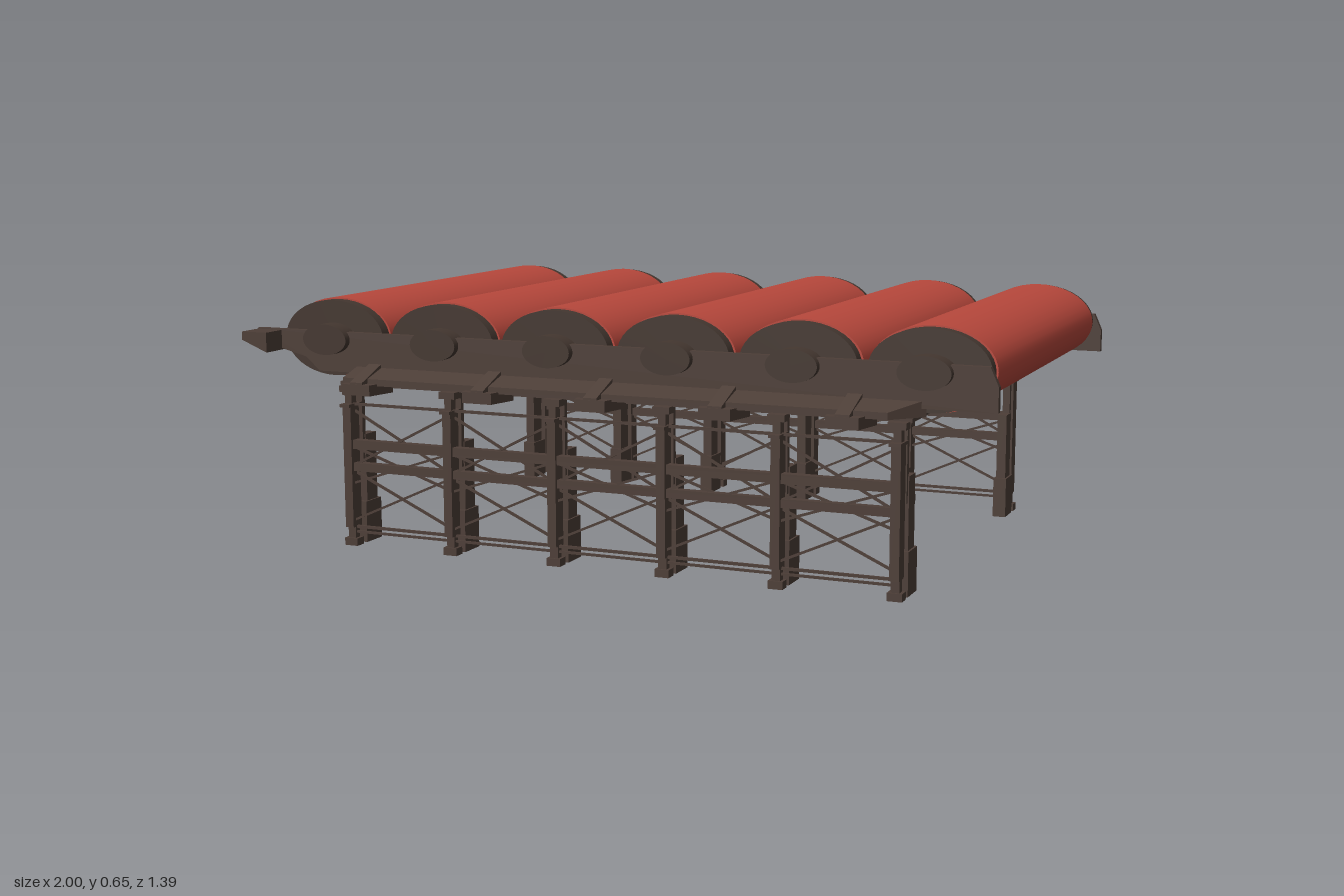
import * as THREE from 'three';

export function createModel() {
  const model = new THREE.Group();
  model.name = 'rollerConveyor';
  const mat = (name, color) => {
    const m = new THREE.MeshStandardMaterial({ color });
    m.name = name;
    return m;
  };
  const red = mat('rollerRed', 0xb8483c);
  const brown = mat('frameBrown', 0x4d3e37);
  const dark = mat('capBrown', 0x443730);

  const add = (name, geo, material, parent = model) => {
    const m = new THREE.Mesh(geo, material);
    m.name = name;
    parent.add(m);
    return m;
  };
  // Box given by its limits; an optional rule moves its corners
  const box = (name, x0, x1, y0, y1, z0, z1, parent = model, rule = null) => {
    let g = new THREE.BoxGeometry(x1 - x0, y1 - y0, Math.abs(z1 - z0));
    g.translate((x0 + x1) / 2, (y0 + y1) / 2, (z0 + z1) / 2);
    if (rule) {
      const p = g.attributes.position, v = new THREE.Vector3();
      for (let i = 0; i < p.count; i++) {
        v.fromBufferAttribute(p, i);
        rule(v);
        p.setXYZ(i, v.x, v.y, v.z);
      }
      g = g.toNonIndexed();
      g.computeVertexNormals();
    }
    return add(name, g, brown, parent);
  };
  // Side outline in x and y, given thickness between two z values
  const plate = (name, pts, za, zb, parent) => {
    const shape = new THREE.Shape(pts.map(([x, y]) => new THREE.Vector2(x, y)));
    const g = new THREE.ExtrudeGeometry(shape, { depth: Math.abs(zb - za), bevelEnabled: false });
    g.translate(0, 0, Math.min(za, zb));
    return add(name, g, brown, parent);
  };
  // Oval cylinder lying along z
  const oval = (name, x, rx, ry, z0, z1, material, parent) => {
    const g = new THREE.CylinderGeometry(1, 1, Math.abs(z1 - z0), 40);
    g.rotateX(Math.PI / 2);
    g.scale(rx, ry, 1);
    g.translate(x, 0.55, (z0 + z1) / 2);
    return add(name, g, material, parent);
  };
  // Thin square bar between two points in an x-y plane
  const bar = (name, x0, y0, x1, y1, z, t, parent) => {
    const m = add(name, new THREE.BoxGeometry(Math.hypot(x1 - x0, y1 - y0), t, t), brown, parent);
    m.position.set((x0 + x1) / 2, (y0 + y1) / 2, z);
    m.rotation.z = Math.atan2(y1 - y0, x1 - x0);
  };

  // Six oval rollers with end caps and hubs
  for (let i = 0; i < 6; i++) {
    const x = -0.78 + i * 0.322;
    const roller = new THREE.Group();
    roller.name = 'roller' + (i + 1);
    model.add(roller);
    oval('drum', x, 0.154, 0.103, -0.54, 0.54, red, roller);
    for (const s of [1, -1]) {
      oval('endCap', x, 0.149, 0.099, s * 0.535, s * 0.572, dark, roller);
      oval('hub', x, 0.065, 0.04, s * 0.57, s * 0.62, dark, roller);
    }
  }

  // Deck under the rollers
  box('deck', -0.77, 0.79, 0.425, 0.435, -0.53, 0.565);

  for (const s of [1, -1]) {
    const side = new THREE.Group();
    side.name = s > 0 ? 'frontFrame' : 'backFrame';
    model.add(side);

    // Side rail and its projecting end tab
    plate('sideRail', [[-1, 0.57], [-1, 0.545], [-0.93, 0.52], [-0.85, 0.5], [-0.81, 0.465],
      [1, 0.465], [1, 0.525], [0.98, 0.57]], s * 0.583, s * 0.6, side);
    plate('endTab', [[-1, 0.567], [-1, 0.545], [-0.925, 0.515], [-0.925, 0.567]], s * 0.59, s * 0.67, side);

    // Sloping ledge, cut off at an angle at its +x end
    box('ledge', -0.695, 0.83, 0.445, 0.485, s * 0.59, s * 0.667, side, (v) => {
      if (Math.abs(v.z) > 0.63) {
        if (v.x > 0) v.x = 0.76;
        if (v.y > 0.46) v.y = 0.462;
      }
    });

    // Brackets with tapered feet and ribs
    for (const x of [-0.64, -0.29, 0.02, 0.345, 0.66]) {
      box('bracketFoot', x - 0.058, x + 0.058, 0.422, 0.45, s * 0.61, s * 0.695, side, (v) => {
        if (Math.abs(v.z) > 0.65) v.x = x + (v.x - x) * 0.7;
      });
      box('bracketRib', x - 0.018, x + 0.018, 0.44, 0.495, s * 0.59, s * 0.693, side, (v) => {
        if (Math.abs(v.z) > 0.65 && v.y > 0.45) v.y = 0.455;
      });
    }

    // Legs: outer post with foot and head, inner pillar with block base
    const Z = (z) => s * z + 0.021; // the stand sits slightly toward the front
    const legs = [0, 1, 2, 3, 4, 5].map((i) => -0.735 + i * 0.299);
    for (const x of legs) {
      const leg = new THREE.Group();
      leg.name = 'leg';
      side.add(leg);
      const part = (name, w, y0, y1, z0, z1) =>
        box(name, x - w / 2, x + w / 2, y0, y1, Z(z0), Z(z1), leg);
      part('foot', 0.038, 0, 0.02, 0.537, 0.568);
      part('footNeck', 0.022, 0.02, 0.05, 0.543, 0.562);
      part('outerPost', 0.024, 0.05, 0.375, 0.533, 0.573);
      part('postCollar', 0.03, 0.372, 0.38, 0.522, 0.583);
      part('postHead', 0.02, 0.38, 0.425, 0.541, 0.564);
      part('headPlate', 0.045, 0.41, 0.427, 0.537, 0.57);
      part('hanger', 0.02, 0.225, 0.427, 0.5, 0.514);
      part('innerPillar', 0.026, 0.11, 0.29, 0.455, 0.505);
      part('pillarBase', 0.036, 0, 0.11, 0.445, 0.518);
      box('deckTab', x - 0.03, x + 0.03, 0.426, 0.434, s * 0.52, s * 0.565, leg);
    }

    // Long rails joining the legs
    const zc = Z(0.553);
    for (const [y, t] of [[0.272, 0.024], [0.212, 0.022], [0.378, 0.007], [0.05, 0.007], [0.036, 0.006]]) {
      box('stringer', legs[0], legs[5], y - t / 2, y + t / 2, zc - t / 2, zc + t / 2, side);
    }

    // Crossed braces in every bay
    for (let i = 0; i < 5; i++) {
      for (const [y0, y1] of [[0.21, 0.365], [0.065, 0.2], [0.165, 0.265]]) {
        bar('brace', legs[i], y0, legs[i + 1], y1, zc + 0.005, 0.006, side);
        bar('brace', legs[i], y1, legs[i + 1], y0, zc - 0.005, 0.006, side);
      }
    }
  }
  return model;
}
